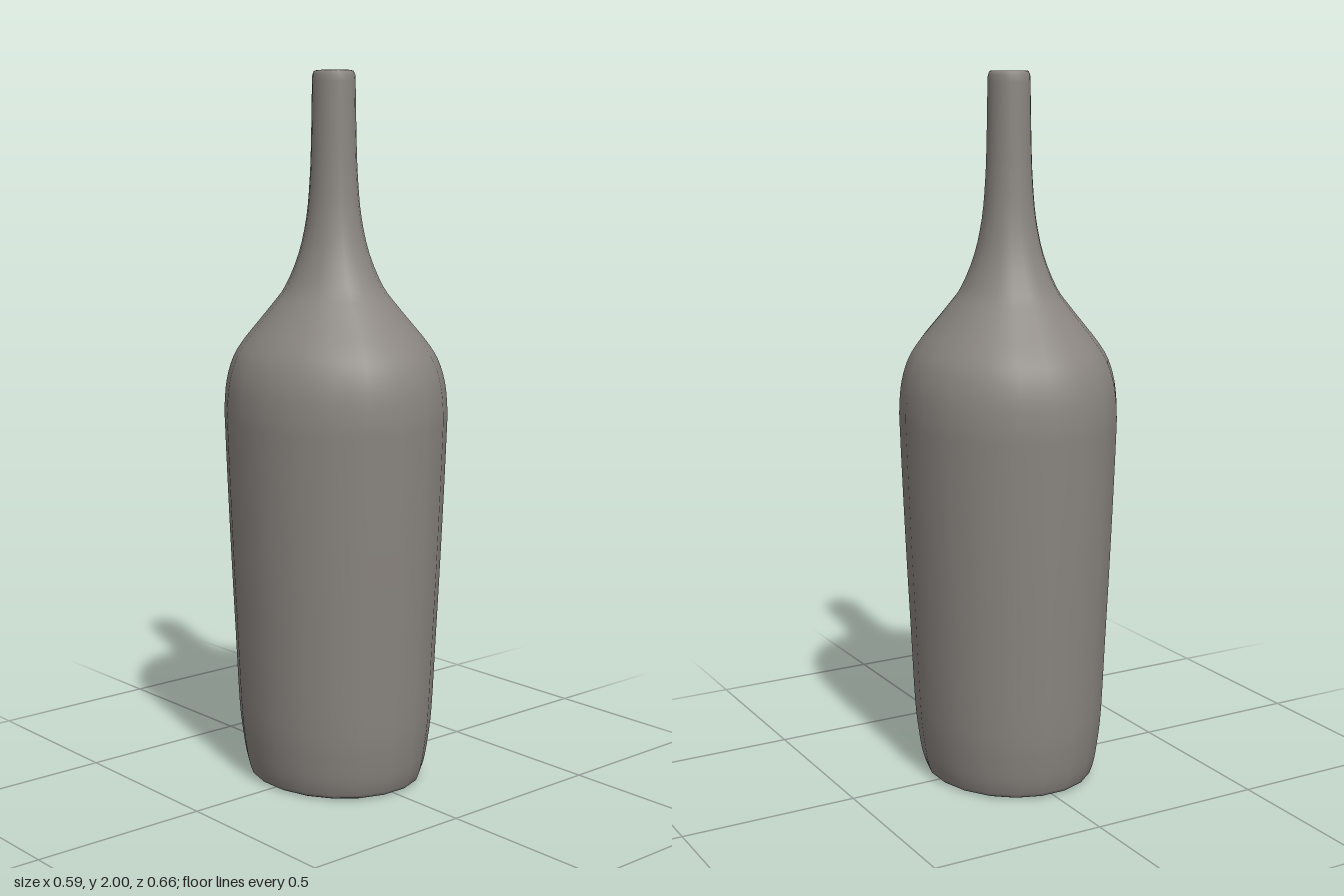
import * as THREE from 'three';

const SIDES = 20;

// Open shell turned around y, widened front to back into an oval
function ovalLathe(points) {
  const step = (Math.PI * 2) / SIDES;
  const geometry = new THREE.LatheGeometry(points, SIDES, step / 2, Math.PI * 2);
  geometry.scale(1, 1, 1.115);
  // narrow rings sit very slightly towards the back
  const p = geometry.attributes.position;
  for (let i = 0; i < p.count; i++) {
    const r = Math.hypot(p.getX(i), p.getZ(i) / 1.115);
    p.setZ(i, p.getZ(i) - 0.007 * (1 - Math.min(1, r / 0.3)));
  }
  return geometry;
}

export function createModel() {
  const group = new THREE.Group();
  group.name = 'bottle';

  const glaze = new THREE.MeshStandardMaterial({ color: 0x8a8580, side: THREE.DoubleSide });
  glaze.name = 'warm grey';

  const toPoints = (list) => list.map(([r, y]) => new THREE.Vector2(r, y));

  // Foot ring around the open underside
  const foot = toPoints([[0.19, 0.006], [0.205, 0.001], [0.222, 0]]);

  // Tapered body, shoulder and slender neck
  const wall = new THREE.SplineCurve(toPoints([
    [0.234, 0.006], [0.246, 0.045], [0.256, 0.11], [0.265, 0.2], [0.274, 0.4],
    [0.283, 0.6], [0.291, 0.8], [0.298, 1.0], [0.299, 1.07], [0.292, 1.145],
    [0.273, 1.21], [0.243, 1.26], [0.204, 1.31], [0.165, 1.36], [0.13, 1.41],
    [0.094, 1.5], [0.073, 1.6], [0.064, 1.7], [0.06, 1.8], [0.057, 1.97],
  ])).getPoints(57);

  // Rounded lip turning into the mouth
  const lip = toPoints([[0.056, 1.988], [0.052, 1.998], [0.047, 2], [0.042, 1.996], [0.039, 1.985], [0.039, 1.94]]);

  const body = new THREE.Mesh(ovalLathe([...foot, ...wall, ...lip]), glaze);
  body.name = 'bottleBody';
  group.add(body);
  return group;
}
